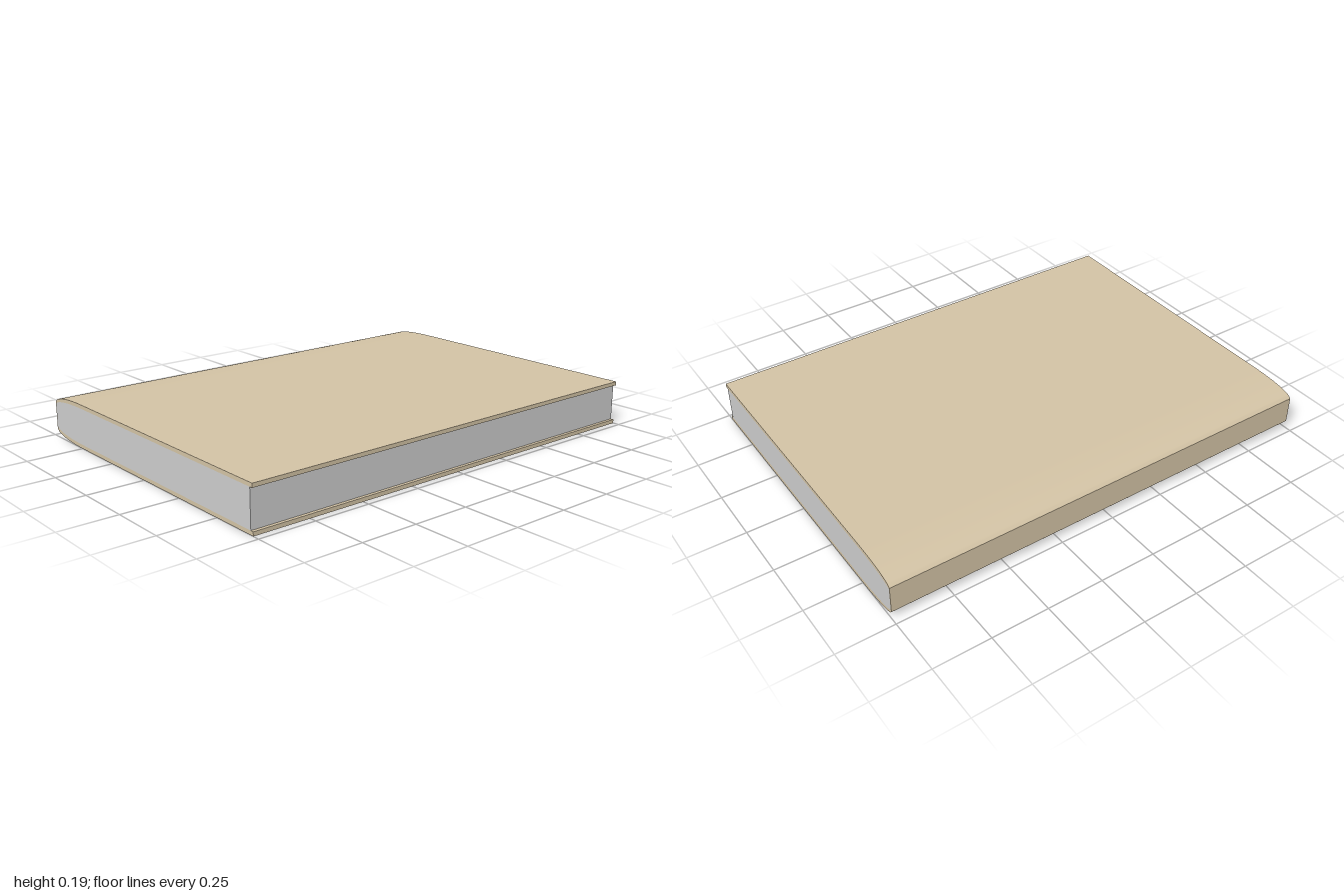
import * as THREE from 'three';
import { toCreasedNormals } from 'three/addons/utils/BufferGeometryUtils.js';

const HEIGHT = 0.194, BOARD = 0.017, SPINE_X = -0.72, FORE_X = 0.72, PAGE_X = 0.706;

// Extrude a profile in the xy plane along the full depth of the book
function extrude(shape, name, color) {
  const geometry = new THREE.ExtrudeGeometry(shape, { depth: 2, bevelEnabled: false, curveSegments: 16 });
  geometry.translate(0, 0, -1);
  const mesh = new THREE.Mesh(
    toCreasedNormals(geometry, 0.5),
    new THREE.MeshStandardMaterial({ color })
  );
  mesh.name = name;
  return mesh;
}

// Trace the back of the book from top edge to bottom edge, rounded into a flat spine
function traceSpine(shape, x, top, corner) {
  shape.lineTo(-0.48, top);
  shape.bezierCurveTo(-0.6, top, x + 0.015, top - 0.01, x, corner);
  shape.lineTo(x, HEIGHT - corner);
  shape.bezierCurveTo(x + 0.015, HEIGHT - top + 0.01, -0.6, HEIGHT - top, -0.48, HEIGHT - top);
}

// The same inner path, walked bottom to top, lines the cover
function traceLining(shape, x, top, corner) {
  shape.lineTo(-0.48, HEIGHT - top);
  shape.bezierCurveTo(-0.6, HEIGHT - top, x + 0.015, HEIGHT - top + 0.01, x, HEIGHT - corner);
  shape.lineTo(x, corner);
  shape.bezierCurveTo(x + 0.015, top - 0.01, -0.6, top, -0.48, top);
}

export function createModel() {
  const book = new THREE.Group();
  book.name = 'book';
  const inner = [SPINE_X + 0.004, HEIGHT - BOARD, 0.149];

  // One-piece cover: two boards joined by the spine
  const cover = new THREE.Shape();
  cover.moveTo(FORE_X, HEIGHT);
  traceSpine(cover, SPINE_X, HEIGHT, 0.158);
  cover.lineTo(FORE_X, 0);
  cover.lineTo(FORE_X, BOARD);
  traceLining(cover, ...inner);
  cover.lineTo(FORE_X, HEIGHT - BOARD);
  cover.closePath();
  book.add(extrude(cover, 'cover', 0xd2c2a4));

  // Page block, set back slightly at the fore edge
  const pages = new THREE.Shape();
  pages.moveTo(PAGE_X, HEIGHT - BOARD);
  traceSpine(pages, ...inner);
  pages.lineTo(PAGE_X, BOARD);
  pages.closePath();
  book.add(extrude(pages, 'pages', 0xcccccc));

  return book;
}
